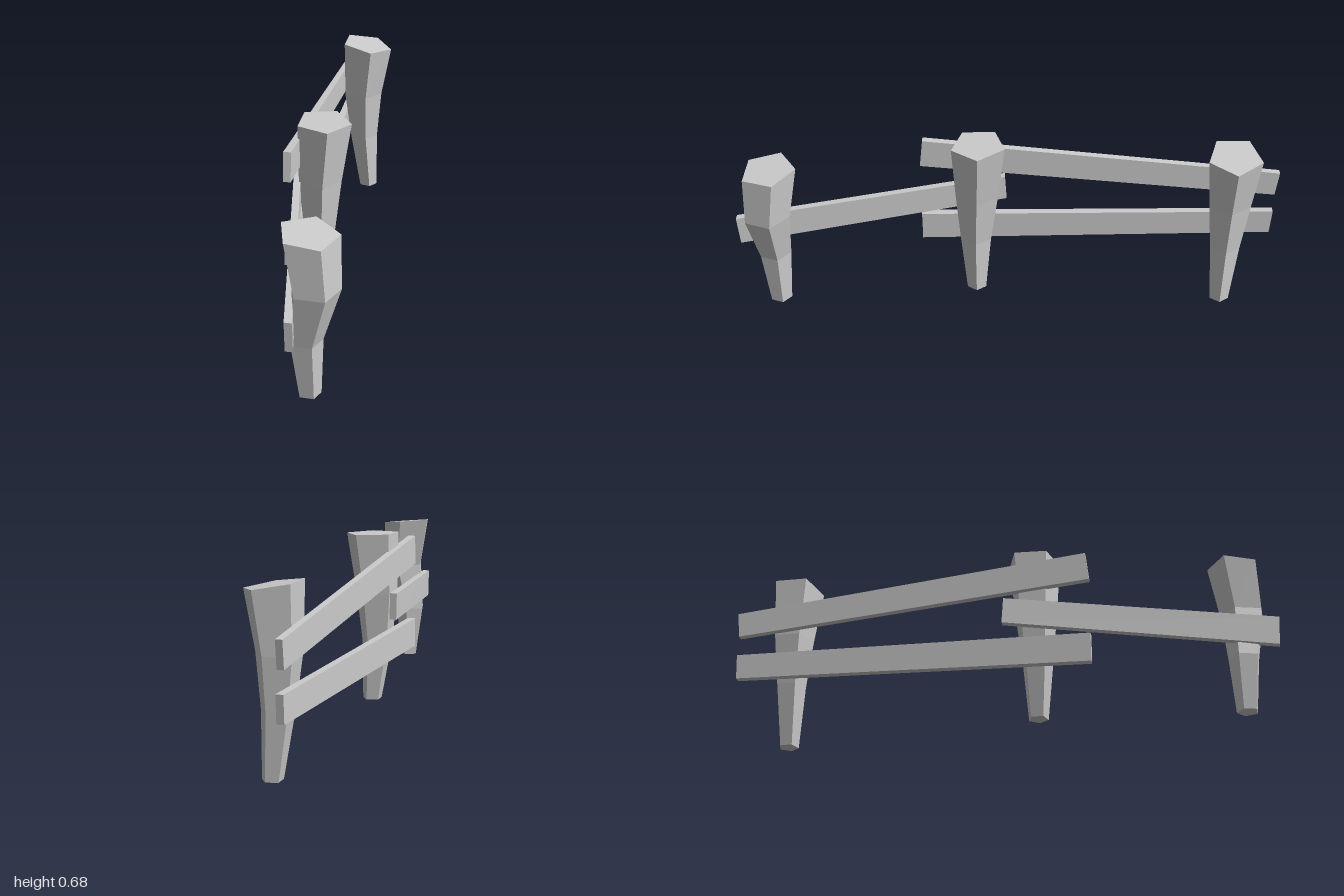
import * as THREE from 'three';

const material = new THREE.MeshStandardMaterial({
  color: 0xcccccc, flatShading: true, side: THREE.DoubleSide,
});

function flatMesh(geometry, name) {
  const flat = geometry.toNonIndexed();
  flat.computeVertexNormals();
  const mesh = new THREE.Mesh(flat, material);
  mesh.name = name;
  return mesh;
}

// Crooked five-sided post; rings run from top to bottom as [y, radius, x, z],
// tilt is the slope of the sawn top along x and z
function makePost(name, turn, rings, tilt) {
  const last = rings.length - 1;
  const geo = new THREE.CylinderGeometry(1, 1, 1, 5, last, false, turn);
  const p = geo.attributes.position;
  for (let i = 0; i < p.count; i++) {
    const row = Math.round((0.5 - p.getY(i)) * last);
    const [y, r, cx, cz] = rings[row];
    const dx = p.getX(i) * r, dz = p.getZ(i) * r;
    const lift = row === 0 ? dx * tilt[0] + dz * tilt[1] : 0;
    p.setXYZ(i, cx + dx, y + lift, cz + dz);
  }
  return flatMesh(geo, name);
}

// Tapered plank between two ends, each given as x range, y range, and z at bottom and top
function makeRail(name, front, back) {
  const geo = new THREE.BoxGeometry(1, 1, 1);
  const p = geo.attributes.position;
  for (let i = 0; i < p.count; i++) {
    const end = p.getZ(i) > 0 ? front : back;
    const ix = p.getX(i) > 0 ? 1 : 0, iy = p.getY(i) > 0 ? 1 : 0;
    p.setXYZ(i, end.x[ix], end.y[iy], end.z[iy]);
  }
  return flatMesh(geo, name);
}

export function createModel() {
  const fence = new THREE.Group();
  fence.name = 'fence';

  // Posts
  fence.add(
    makePost('frontPost', 3.09, [
      [0.632, 0.1, 0.06, 0.855],
      [0.447, 0.084, 0.082, 0.875],
      [0.258, 0.059, 0.047, 0.867],
      [0.055, 0.04, 0.058, 0.863],
    ], [-0.1, -0.08]),
    makePost('middlePost', Math.PI / 2, [
      [0.678, 0.101, -0.036, 0.112],
      [0.455, 0.081, -0.051, 0.119],
      [0.26, 0.059, -0.052, 0.125],
      [0.042, 0.037, -0.033, 0.124],
    ], [-0.03, -0.03]),
    makePost('backPost', Math.PI / 2, [
      [0.635, 0.102, -0.032, -0.812],
      [0.42, 0.08, -0.048, -0.812],
      [0.23, 0.058, -0.042, -0.81],
      [0, 0.037, -0.02, -0.807],
    ], [-0.17, 0]),
  );

  // Rails
  fence.add(
    makeRail('upperRail',
      { x: [-0.137, -0.11], y: [0.537, 0.645], z: [0.33, 0.318] },
      { x: [-0.141, -0.117], y: [0.41, 0.505], z: [-0.99, -1] }),
    makeRail('lowerRail',
      { x: [-0.137, -0.109], y: [0.21, 0.32], z: [0.33, 0.33] },
      { x: [-0.139, -0.113], y: [0.24, 0.335], z: [-0.987, -0.992] }),
    makeRail('frontRail',
      { x: [0.01, 0.036], y: [0.29, 0.398], z: [0.993, 1] },
      { x: [-0.163, -0.137], y: [0.375, 0.472], z: [0.012, 0.018] }),
  );

  return fence;
}
